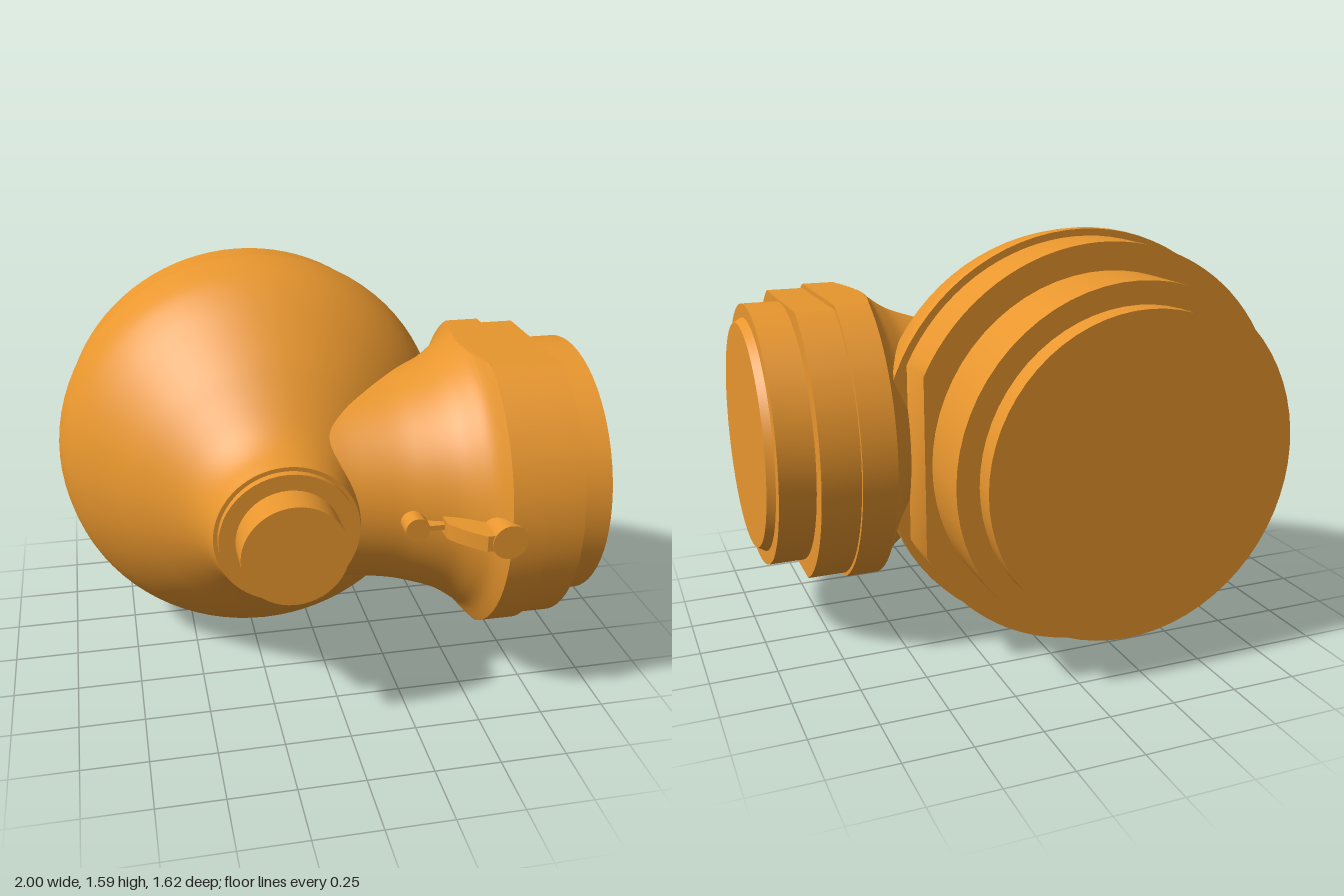
import * as THREE from 'three';
import { toCreasedNormals } from 'three/addons/utils/BufferGeometryUtils.js';

const CY = 0.797, BODY_X = -0.208, BRANCH_Z = 0.19;

export function createModel() {
  const model = new THREE.Group();
  const material = new THREE.MeshStandardMaterial({ color: 0xe8962e });

  const add = (parent, name, geometry, crease = 0.5) => {
    const mesh = new THREE.Mesh(toCreasedNormals(geometry, crease), material);
    mesh.name = name;
    parent.add(mesh);
    return mesh;
  };
  const group = (name, x, y, z) => {
    const g = new THREE.Group();
    g.name = name;
    g.position.set(x, y, z);
    model.add(g);
    return g;
  };
  // smooth radius profile through [radius, position] pairs
  const smooth = (pairs, n) =>
    new THREE.SplineCurve(pairs.map(p => new THREE.Vector2(...p))).getPoints(n);
  // disc between two positions along an axis
  const disc = (axis, r0, r1, from, to, segments = 64) => {
    const g = new THREE.CylinderGeometry(r1, r0, to - from, segments);
    g.translate(0, (from + to) / 2, 0);
    return axis === 'z' ? g.rotateX(Math.PI / 2) : g.rotateZ(-Math.PI / 2);
  };
  const extrude = (shape, from, to) => {
    const g = new THREE.ExtrudeGeometry(shape, { depth: to - from, bevelEnabled: false, curveSegments: 40 });
    return g.translate(0, 0, from);
  };

  // main housing, axis along z
  const body = group('housing', BODY_X, CY, 0);
  const bowl = smooth([[0.793, -0.28], [0.793, -0.23], [0.767, -0.1], [0.715, 0], [0.64, 0.1], [0.53, 0.23],
    [0.435, 0.325], [0.345, 0.42], [0.295, 0.5], [0.27, 0.58], [0.265, 0.6]], 50);
  bowl.unshift(new THREE.Vector2(0, -0.28));
  bowl.push(new THREE.Vector2(0, 0.6));
  add(body, 'bowl', new THREE.LatheGeometry(bowl, 80).rotateX(Math.PI / 2));

  // collar with one flat beside the branch
  const a = Math.acos(0.69 / 0.767);
  const collar = new THREE.Shape();
  collar.absarc(0, 0, 0.767, a, Math.PI * 2 - a, false);
  collar.closePath();
  add(body, 'collar', extrude(collar, -0.475, -0.28));
  add(body, 'rearCover', disc('z', 0.664, 0.664, -0.725, -0.475));
  add(body, 'rearCap', disc('z', 0.581, 0.581, -0.81, -0.725));
  add(body, 'nozzleRing', disc('z', 0.25, 0.25, 0.6, 0.63, 48));
  add(body, 'nozzlePlug', disc('z', 0.19, 0.19, 0.63, 0.76, 48));

  // side branch, axis along x
  const branch = group('sideBranch', 0, CY, BRANCH_Z);
  const flare = smooth([[0.37, -0.06], [0.372, 0.05], [0.39, 0.2], [0.415, 0.3], [0.455, 0.41],
    [0.5, 0.48], [0.54, 0.525], [0.598, 0.56]], 50);
  flare.unshift(new THREE.Vector2(0, -0.06));
  flare.push(new THREE.Vector2(0, 0.56));
  const neck = new THREE.LatheGeometry(flare, 128).rotateZ(-Math.PI / 2);
  const pos = neck.attributes.position;
  for (let i = 0; i < pos.count; i++) pos.setY(i, THREE.MathUtils.clamp(pos.getY(i), -0.533, 0.533));
  add(branch, 'neck', neck);

  // flange rings flattened above and below
  const flattened = (r, flat, from, to) => {
    const b = Math.asin(flat / r), s = new THREE.Shape();
    s.absarc(0, 0, r, -b, b, false);
    s.absarc(0, 0, r, Math.PI - b, Math.PI + b, false);
    s.closePath();
    return extrude(s, from, to).rotateY(Math.PI / 2);
  };
  add(branch, 'flange', flattened(0.598, 0.533, 0.56, 0.69), 0.25);
  add(branch, 'flangeCover', flattened(0.583, 0.516, 0.69, 0.835), 0.25);
  add(branch, 'branchCover', disc('x', 0.508, 0.508, 0.835, 0.97));
  add(branch, 'branchCap', disc('x', 0.455, 0.437, 0.97, 1));

  // small latch on the front of the neck
  const latch = group('latch', 0, CY, 0);
  add(latch, 'pin', disc('z', 0.045, 0.045, 0.5, 0.655, 24)).position.x = 0.255;
  add(latch, 'pivot', disc('z', 0.065, 0.065, 0.6, 0.805, 32)).position.x = 0.548;
  const link = new THREE.BoxGeometry(0.14, 0.02, 0.06);
  add(latch, 'link', link).position.set(0.34, 0, 0.62);
  const arm = new THREE.Shape();
  arm.moveTo(0.355, 0.58);
  arm.lineTo(0.355, 0.68);
  arm.quadraticCurveTo(0.39, 0.74, 0.465, 0.8);
  arm.lineTo(0.55, 0.8);
  arm.lineTo(0.55, 0.58);
  arm.closePath();
  add(latch, 'arm', extrude(arm, -0.03, 0.03).rotateX(Math.PI / 2));

  return model;
}
